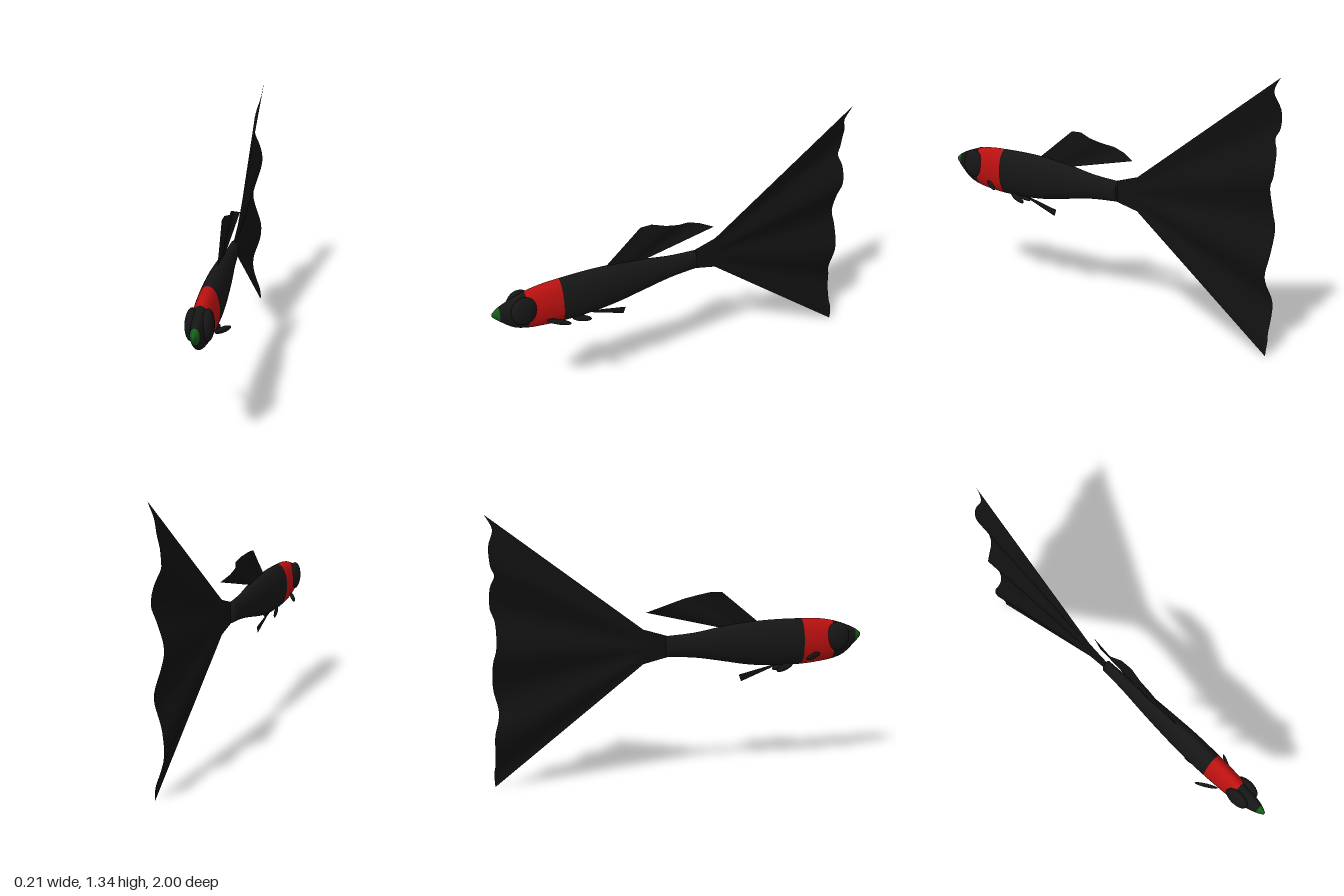
import * as THREE from 'three';

const mat = (name, color, side = THREE.FrontSide) => {
  const m = new THREE.MeshStandardMaterial({ color, side });
  m.name = name;
  return m;
};

const add = (group, name, geometry, material) => {
  const mesh = new THREE.Mesh(geometry, material);
  mesh.name = name;
  group.add(mesh);
  return mesh;
};

// Body stations from snout to tail root: z, top, bottom, half width
const STATIONS = [
  [1.0, 0.69, 0.67, 0.006],
  [0.965, 0.715, 0.635, 0.022],
  [0.9, 0.742, 0.58, 0.036],
  [0.83, 0.763, 0.555, 0.046],
  [0.75, 0.776, 0.543, 0.052],
  [0.65, 0.78, 0.535, 0.056],
  [0.5, 0.78, 0.535, 0.058],
  [0.35, 0.772, 0.548, 0.052],
  [0.2, 0.754, 0.575, 0.044],
  [0.05, 0.729, 0.6, 0.032],
  [-0.1, 0.718, 0.61, 0.025],
];

// Elliptical loft through the stations; bands are [first station, last station]
function bodyGeometry(bands) {
  const sides = 28, steps = 4, last = STATIONS.length - 1;
  const curve = (k) => new THREE.SplineCurve(STATIONS.map((s) => new THREE.Vector2(s[0], s[k])));
  const [top, bottom, width] = [1, 2, 3].map(curve);
  const pos = [], index = [];
  const rings = last * steps;
  for (let i = 0; i <= rings; i++) {
    const t = i / rings;
    const a = top.getPoint(t), b = bottom.getPoint(t), w = width.getPoint(t).y;
    for (let j = 0; j < sides; j++) {
      const ang = (j / sides) * Math.PI * 2;
      pos.push(w * Math.cos(ang), (a.y + b.y) / 2 + ((a.y - b.y) / 2) * Math.sin(ang), a.x);
    }
  }
  for (let i = 0; i < rings; i++) {
    for (let j = 0; j < sides; j++) {
      const k = (j + 1) % sides;
      const p = i * sides + j, q = i * sides + k;
      index.push(p, p + sides, q, q, p + sides, q + sides);
    }
  }
  // Close the snout and the tail root
  const end = rings * sides;
  for (let j = 1; j < sides - 1; j++) index.push(0, j, j + 1);
  for (let j = 1; j < sides - 1; j++) index.push(end, end + j + 1, end + j);
  const geo = new THREE.BufferGeometry();
  geo.setAttribute('position', new THREE.Float32BufferAttribute(pos, 3));
  geo.setIndex(index);
  geo.computeVertexNormals();
  const per = steps * sides * 6, skip = 0;
  bands.forEach(([from, to], m) => geo.addGroup(from * per + skip, (to - from) * per, m));
  const cap = (sides - 2) * 3;
  geo.addGroup(rings * sides * 6, cap, 0);
  geo.addGroup(rings * sides * 6 + cap, cap, bands.length - 1);
  return geo;
}

// Thin membrane stretched between a root line and an edge line of [x, y, z] points
function finGeometry(root, edge, rows = 6) {
  const pos = [], index = [], n = edge.length;
  edge.forEach((e, i) => {
    const t = i / (n - 1);
    for (let r = 0; r <= rows; r++) {
      for (let c = 0; c < 3; c++) {
        const base = THREE.MathUtils.lerp(root[0][c], root[1][c], t);
        pos.push(THREE.MathUtils.lerp(base, e[c], r / rows));
      }
    }
  });
  for (let i = 0; i < n - 1; i++) {
    for (let r = 0; r < rows; r++) {
      const p = i * (rows + 1) + r, q = p + rows + 1;
      index.push(p, p + 1, q, q, p + 1, q + 1);
    }
  }
  const geo = new THREE.BufferGeometry();
  geo.setAttribute('position', new THREE.Float32BufferAttribute(pos, 3));
  geo.setIndex(index);
  geo.computeVertexNormals();
  return geo;
}

// Flattened ellipsoid whose long axis points along dir
function paddle(group, name, material, center, radii, dir) {
  const mesh = add(group, name, new THREE.SphereGeometry(1, 20, 14), material);
  mesh.scale.set(...radii);
  mesh.position.set(...center);
  mesh.lookAt(center[0] + dir[0], center[1] + dir[1], center[2] + dir[2]);
  return mesh;
}

export function createModel() {
  const fish = new THREE.Group();
  fish.name = 'fish';
  const black = mat('bodyBlack', 0x151615);
  const red = mat('bandRed', 0xbb1110);
  const green = mat('mouthGreen', 0x145c18);
  const finBlack = mat('finBlack', 0x111111, THREE.DoubleSide);

  // Body with green mouth, black head, red collar and black trunk
  add(fish, 'body', bodyGeometry([[0, 1], [1, 3], [3, 5], [5, 10]]), [green, black, red, black]);

  // Large rounded eyes, paired side fins
  for (const s of [1, -1]) {
    const side = s > 0 ? 'left' : 'right';
    paddle(fish, side + 'Eye', black, [s * 0.036, 0.679, 0.85], [0.03, 0.077, 0.067], [0, 0, 1]);
    paddle(fish, side + 'PectoralFin', black, [s * 0.076, 0.586, 0.69], [0.009, 0.016, 0.06], [s * 0.05, -0.015, -0.09]);
    paddle(fish, side + 'PelvicFin', black, [s * 0.024, 0.526, 0.55], [0.008, 0.018, 0.052], [s * 0.012, -0.03, -0.09]);
  }

  // Tail root and flowing fan tail with a rippled, scalloped edge
  add(fish, 'tailRoot', finGeometry([[0, 0.718, -0.09], [0, 0.61, -0.09]], [[0, 0.757, -0.22], [0, 0.58, -0.22]], 1), finBlack);
  const profile = new THREE.SplineCurve([
    [1.34, -1], [1.27, -0.965], [1.19, -0.99], [1.1, -0.985], [1.05, -0.965], [0.99, -0.985],
    [0.89, -0.985], [0.82, -0.963], [0.7, -0.965], [0.62, -0.983], [0.5, -0.98], [0.4, -0.957],
    [0.34, -0.96], [0.26, -0.982], [0.12, -0.98], [0.07, -0.985], [0, -0.98],
  ].map(([y, z]) => new THREE.Vector2(y, z)));
  const tailEdge = profile.getPoints(64).map(({ x: y, y: z }) =>
    [-0.025 * Math.cos(((y - 0.675) / 0.44) * Math.PI * 2), y, z]);
  add(fish, 'tailFin', finGeometry([[0, 0.757, -0.22], [0, 0.58, -0.22]], tailEdge, 12), finBlack);

  // Swept dorsal fin with a gentle ripple
  add(fish, 'dorsalFin', finGeometry([[0, 0.77, 0.4], [0, 0.748, 0.2]], [
    [0, 0.775, 0.4], [-0.006, 0.855, 0.3], [-0.013, 0.935, 0.2], [-0.01, 0.937, 0.14], [0.01, 0.92, 0.07],
    [0.01, 0.905, 0], [-0.014, 0.888, -0.07], [-0.01, 0.868, -0.13], [0.015, 0.84, -0.2],
  ]), finBlack);

  // Narrow anal fin
  add(fish, 'analFin', finGeometry([[0, 0.545, 0.52], [0, 0.53, 0.5]], [[0, 0.496, 0.3], [0, 0.46, 0.312]]), finBlack);

  return fish;
}
